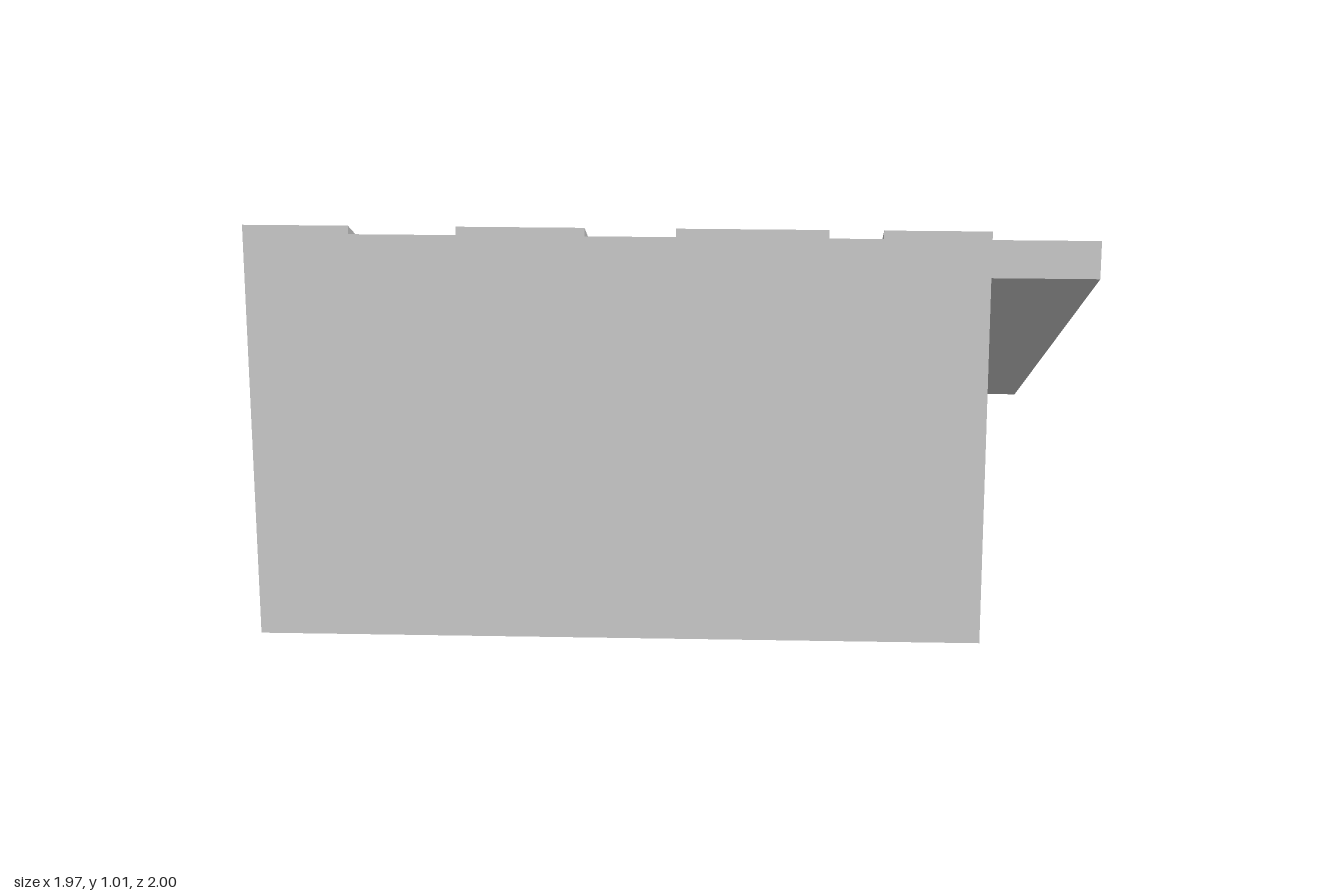
import * as THREE from 'three';

const material = new THREE.MeshStandardMaterial({ color: 0xcccccc, flatShading: true });

// Extrudes a side profile of [z, y] points across the width from x0 to x1.
function sideProfile(name, points, x0, x1) {
  const shape = new THREE.Shape(points.map(([z, y]) => new THREE.Vector2(-z, y)));
  const geometry = new THREE.ExtrudeGeometry(shape, { depth: x1 - x0, bevelEnabled: false });
  geometry.rotateY(Math.PI / 2);
  geometry.translate(x0, 0, 0);
  const mesh = new THREE.Mesh(geometry, material);
  mesh.name = name;
  return mesh;
}

export function createModel() {
  const group = new THREE.Group();
  group.name = 'slopedRoof';

  // Solid wedge under the roof, stopping short of the left overhang
  group.add(sideProfile('wedgeBody', [[1, 0], [-0.975, 0], [1, 0.9]], -0.985, 0.737));

  // Sloping slab across the full width
  const slab = [[1, 0.9], [-0.975, 0.004], [-0.975, 0.1], [1, 0.99]];
  group.add(sideProfile('roofSlab', slab, -0.985, 0.985));

  // Raised boards that fold down over the low edge
  const board = [
    [1, 0.99], [-0.975, 0.1], [-0.975, 0], [-1, 0],
    [-1, 0.125], [-0.97, 0.125], [1, 1.01],
  ];
  const spans = [[-0.985, -0.74], [-0.492, -0.195], [0.015, 0.365], [0.49, 0.737]];
  spans.forEach(([x0, x1], i) => group.add(sideProfile(`raisedBoard${i + 1}`, board, x0, x1)));

  return group;
}
